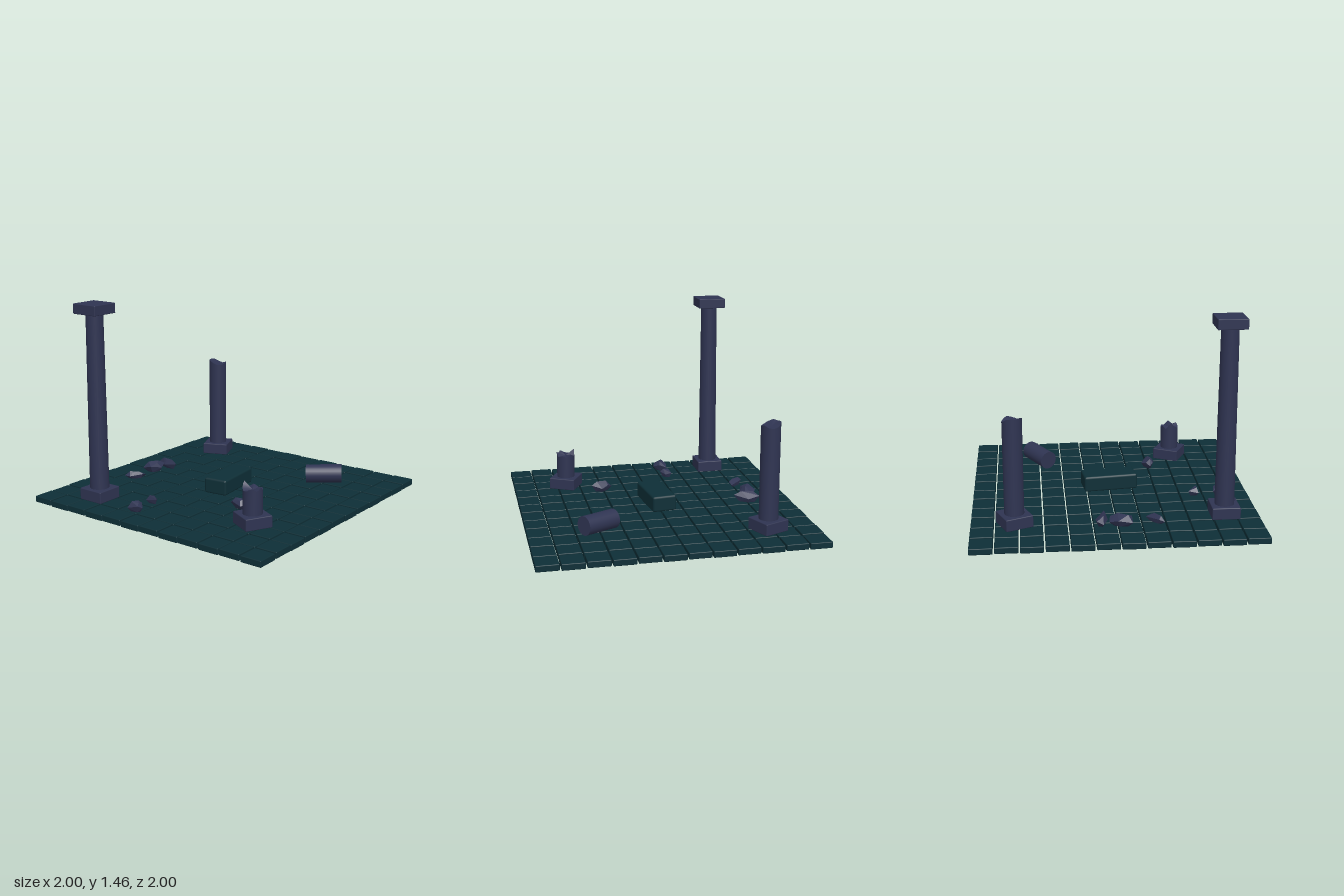
import * as THREE from 'three';
import { toCreasedNormals } from 'three/addons/utils/BufferGeometryUtils.js';
import { RoundedBoxGeometry } from 'three/addons/geometries/RoundedBoxGeometry.js';
import { ConvexGeometry } from 'three/addons/geometries/ConvexGeometry.js';

const FLOOR = 0.05, R = 0.068;

export function createModel() {
  const model = new THREE.Group();
  model.name = 'ruins';
  const teal = new THREE.MeshStandardMaterial({ name: 'dark teal stone', color: 0x0e2f37 });
  const slate = new THREE.MeshStandardMaterial({ name: 'slate violet stone', color: 0x2f3452 });

  function add(parent, name, geometry, material, x = 0, y = 0, z = 0) {
    const mesh = new THREE.Mesh(geometry, material);
    mesh.name = name;
    mesh.position.set(x, y, z);
    parent.add(mesh);
    return mesh;
  }
  const block = (w, h, d, r) => new RoundedBoxGeometry(w, h, d, 1, r);

  // Paved floor
  const floor = new THREE.Group();
  floor.name = 'floor';
  model.add(floor);
  const n = 12, pitch = 2 / n;
  const tileGeo = block(pitch - 0.01, 0.045, pitch - 0.01, 0.005);
  for (let i = 0; i < n; i++) {
    for (let j = 0; j < n; j++) {
      const at = (k) => (k - (n - 1) / 2) * (2 - pitch + 0.01) / (n - 1);
      add(floor, 'floorTile', tileGeo, teal, at(i), 0.0265 - ((i + j) % 2) * 0.003, at(j));
    }
  }

  // Fallen altar block
  add(model, 'altarBlock', block(0.395, 0.115, 0.18, 0.015), teal, 0, 0.108, 0).rotation.y = 0.115;

  // Shaft whose rim follows a ring of heights, around a sunken centre
  function brokenShaft(y0, rim, centre) {
    const geo = new THREE.CylinderGeometry(R, R, 1, 24, 1);
    const p = geo.attributes.position;
    for (let i = 0; i < p.count; i++) {
      if (p.getY(i) < 0) { p.setY(i, y0); continue; }
      const x = p.getX(i), z = p.getZ(i);
      const t = ((Math.atan2(x, z) / (Math.PI * 2) + 1) % 1) * rim.length;
      const k = Math.floor(t + 1e-4), f = Math.max(0, t - k);
      const h = rim[k % rim.length] * (1 - f) + rim[(k + 1) % rim.length] * f;
      p.setY(i, Math.hypot(x, z) < R / 2 ? centre : h);
    }
    return toCreasedNormals(geo, 0.5);
  }

  // Standing columns
  function column(name, x, z, turn, shaft) {
    const g = new THREE.Group();
    g.name = name;
    g.position.set(x, 0, z);
    model.add(g);
    add(g, 'plinth', block(0.198, 0.085, 0.198, 0.006), slate, 0, 0.0925, 0).rotation.y = turn;
    add(g, 'shaft', shaft, slate);
    return g;
  }
  const tallShaft = new THREE.CylinderGeometry(0.061, 0.069, 1.27, 24, 1);
  tallShaft.translate(0, 0.765, 0);
  const tall = column('tallColumn', -0.755, -0.59, 0, tallShaft);
  add(tall, 'capital', block(0.206, 0.072, 0.206, 0.005), slate, 0, 1.427, 0);
  column('brokenColumn', 0.70, -0.64, 0.4, brokenShaft(0.13,
    [0.8, 0.81, 0.795, 0.79, 0.8, 0.82, 0.825, 0.82, 0.825, 0.81, 0.795, 0.79], 0.79));
  column('columnStump', -0.537, 0.605, -0.48, brokenShaft(0.13,
    [0.33, 0.3, 0.31, 0.3, 0.32, 0.3, 0.35, 0.32, 0.3, 0.305, 0.325, 0.305], 0.3));

  // Fallen drum lying on the floor
  const drum = add(model, 'fallenDrum', new THREE.CylinderGeometry(R, R, 0.265, 24), slate, 0.506, FLOOR + 0.076, 0.512);
  drum.quaternion.setFromUnitVectors(new THREE.Vector3(0, 1, 0), new THREE.Vector3(0.135, 0.01, 0.225).normalize());

  // Rubble: hull of a plan outline, narrowed to a ridge above and a foot below
  function rock(x, z, low, high, outline) {
    const pts = [];
    outline.forEach(([px, pz], i) => {
      const mid = low + (high - low) * (0.4 + 0.25 * (i % 2));
      pts.push(new THREE.Vector3(px, mid, pz));
      pts.push(new THREE.Vector3(px * 0.6, low, pz * 0.6));
      pts.push(new THREE.Vector3(px * 0.45 - 0.008, high - 0.012 * (i % 3), pz * 0.45));
    });
    add(model, 'rubble', new ConvexGeometry(pts), slate, x, 0, z);
  }
  rock(-0.26, -0.69, 0.055, 0.11, [[-0.06, -0.06], [-0.02, -0.05], [0.06, 0.05], [0.02, 0.06], [-0.055, -0.01]]);
  rock(-0.03, -0.70, 0.05, 0.13, [[-0.07, -0.06], [0.03, -0.065], [0.09, -0.03], [0.08, 0.03], [0.02, 0.055], [-0.07, 0.02]]);
  rock(0.11, -0.67, 0.05, 0.125, [[-0.01, -0.1], [0.035, -0.085], [0.04, 0.0], [-0.03, 0.095], [-0.045, -0.01]]);
  rock(-0.795, -0.20, 0.05, 0.125, [[-0.055, -0.035], [0.0, -0.05], [0.055, -0.045], [0.045, 0.01], [0.0, 0.055], [-0.035, 0.04]]);
  rock(-0.60, -0.21, 0.05, 0.11, [[-0.035, -0.045], [0.04, -0.035], [0.02, 0.01], [-0.025, 0.045]]);
  rock(-0.335, 0.36, 0.06, 0.135, [[-0.01, -0.08], [0.02, -0.05], [0.05, 0.0], [0.01, 0.075], [-0.05, 0.03], [-0.035, -0.05]]);

  return model;
}
